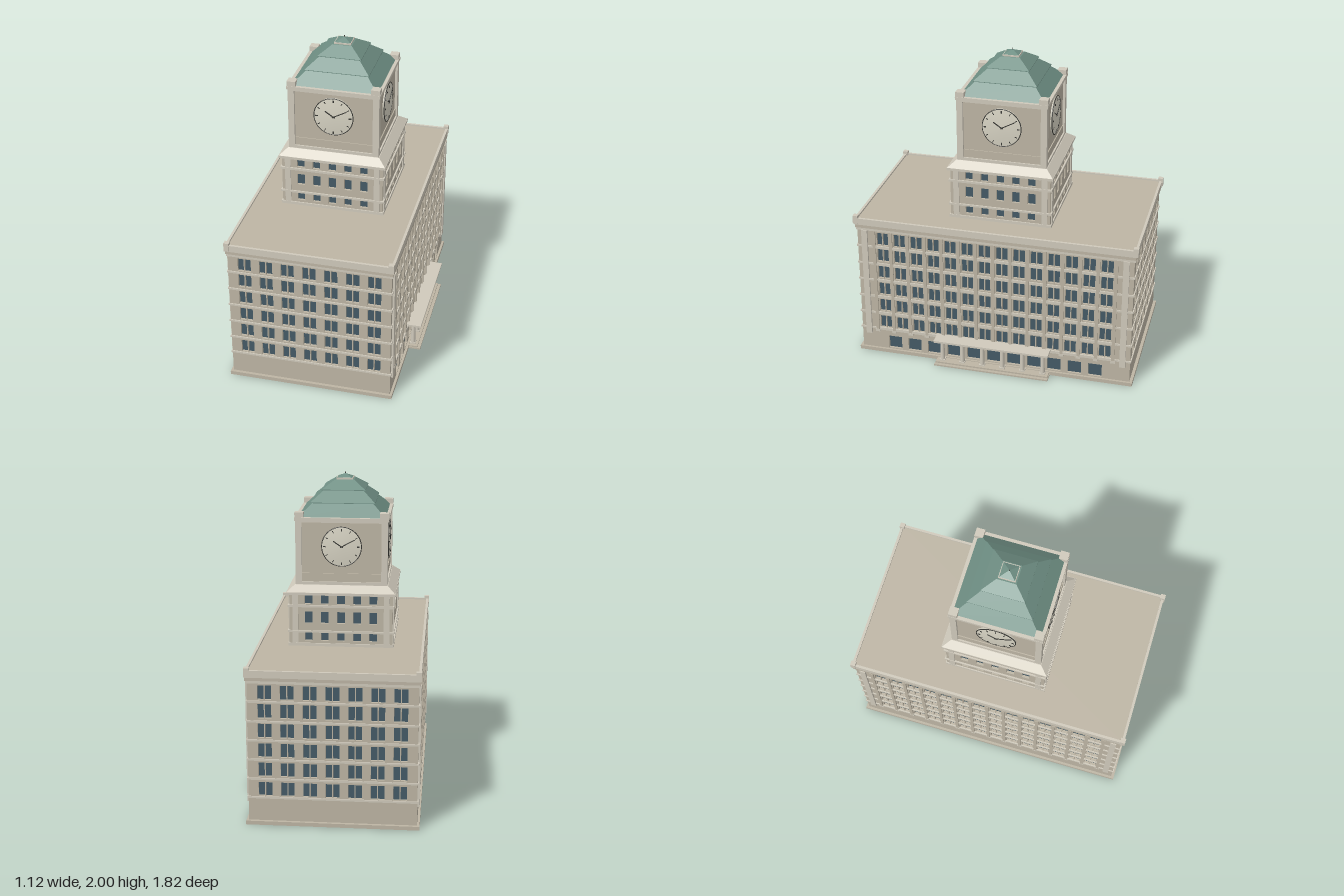
import * as THREE from 'three';

const mat = (color, extra = {}) => new THREE.MeshStandardMaterial({ color, ...extra });
const STONE = mat(0xbdb5a4);
const TRIM = mat(0xcfc9bb);
const GLASS = mat(0x445a66);
const COPPER = mat(0x6f8f84, { flatShading: true });
const SKIRT = mat(0xcfc9bb, { flatShading: true });
const DARK = mat(0x3a3a36);
const DIAL = mat(0xd8d4c4);

function add(parent, name, geometry, material, x = 0, y = 0, z = 0) {
  const mesh = new THREE.Mesh(geometry, material);
  mesh.name = name;
  mesh.position.set(x, y, z);
  parent.add(mesh);
  return mesh;
}

// Box given by its centre in x and z and its bottom and top heights
function block(parent, name, material, w, y0, y1, d, x = 0, z = 0) {
  return add(parent, name, new THREE.BoxGeometry(w, y1 - y0, d), material, x, (y0 + y1) / 2, z);
}

// Square pyramid section between two half widths
function frustum(parent, name, material, low, high, y0, y1) {
  const g = new THREE.CylinderGeometry(high * Math.SQRT2, low * Math.SQRT2, y1 - y0, 4, 1);
  g.rotateY(Math.PI / 4);
  return add(parent, name, g, material, 0, (y0 + y1) / 2, 0);
}

// Group for one side: local x runs along the wall, local z points outward
function side(parent, name, quarter) {
  const g = new THREE.Group();
  g.name = name;
  g.rotation.y = quarter * Math.PI / 2;
  parent.add(g);
  return g;
}

// Wall skin with rectangular openings [centreX, centreY, w, h]; its outer face is at z = face
const SKIN = 0.016;
function wall(parent, name, material, width, y0, y1, face, openings) {
  const rect = (P, x0, a, x1, b) => new P([[x0, a], [x1, a], [x1, b], [x0, b]].map(p => new THREE.Vector2(...p)));
  const shape = rect(THREE.Shape, -width / 2, y0, width / 2, y1);
  for (const [x, y, w, h] of openings) shape.holes.push(rect(THREE.Path, x - w / 2, y - h / 2, x + w / 2, y + h / 2));
  const g = new THREE.ExtrudeGeometry(shape, { depth: SKIN, bevelEnabled: false });
  return add(parent, name, g, material, 0, 0, face - SKIN);
}

// Evenly spaced positions centred on zero
const spread = (n, step) => Array.from({ length: n }, (_, i) => (i - (n - 1) / 2) * step);

const ROWS = [0.225, 0.349, 0.471, 0.594, 0.716, 0.832];
const BANDS = [0.172, 0.29, 0.412, 0.534, 0.652, 0.775];
const HX = 0.505, HZ = 0.886;

function pairedWindows(columns, step, pane) {
  const list = [];
  for (const x of spread(columns, step))
    for (const y of ROWS)
      for (const s of [-1, 1]) list.push([x + s * (pane / 2 + 0.003), y, pane, 0.088]);
  return list;
}

function buildOffice(root) {
  const office = new THREE.Group();
  office.name = 'officeBlock';
  root.add(office);
  block(office, 'windowGlass', GLASS, 2 * (HX - SKIN), 0.01, 0.93, 2 * (HZ - SKIN));
  block(office, 'plinth', STONE, 1.04, 0, 0.024, 1.81);

  // Short ends
  for (const q of [0, 2]) {
    const s = side(office, q ? 'backFacade' : 'frontFacade', q);
    wall(s, 'endWall', STONE, 2 * HX, 0.02, 0.92, HZ, pairedWindows(7, 0.134, 0.038));
  }

  // Long sides with a pilaster grid; the entrance side has ground floor windows
  for (const q of [1, 3]) {
    const s = side(office, q === 1 ? 'leftFacade' : 'rightFacade', q);
    const openings = pairedWindows(14, 0.111, 0.034);
    if (q === 1) for (const x of spread(11, 0.1327)) openings.push([x, 0.076, 0.088, 0.09]);
    wall(s, 'longWall', STONE, 2 * (HZ - SKIN), 0.02, 0.92, HX, openings);
    for (const x of spread(15, 0.111)) {
      block(s, 'pilaster', STONE, 0.02, 0.165, 0.89, 0.012, x, HX + 0.004);
      block(s, 'bracket', TRIM, 0.03, 0.15, 0.168, 0.014, x, HX + 0.004);
    }
    for (const x of [-0.838, 0.838]) block(s, 'cornerPilaster', TRIM, 0.038, 0.13, 0.89, 0.018, x, HX + 0.004);
    for (const y of BANDS) block(s, 'sillBand', TRIM, 1.58, y - 0.009, y + 0.009, 0.01, 0, HX + 0.003);
  }

  // Floor bands as open rings that wrap the block
  for (const y of BANDS) {
    for (const s of [-1, 1]) {
      block(office, 'floorBand', TRIM, 2 * HX + 0.014, y - 0.006, y + 0.006, 0.012, 0, s * (HZ + 0.001));
      block(office, 'floorBand', TRIM, 0.012, y - 0.006, y + 0.006, 2 * HZ - 0.01, s * (HX + 0.001), 0);
    }
  }

  // Cornice, flat roof and parapet
  block(office, 'frieze', TRIM, 2 * HX + 0.014, 0.888, 0.905, 2 * HZ + 0.014);
  block(office, 'cornice', STONE, 2 * HX + 0.022, 0.905, 0.93, 2 * HZ + 0.022);
  block(office, 'roofDeck', STONE, 1.02, 0.93, 0.957, 1.79);
  for (const s of [-1, 1]) {
    block(office, 'parapet', TRIM, 1.034, 0.925, 0.968, 0.016, 0, s * 0.893);
    block(office, 'parapet', TRIM, 0.016, 0.925, 0.968, 1.77, s * 0.509, 0);
    for (const t of [-1, 1]) block(office, 'parapetCornerBlock', TRIM, 0.032, 0.93, 0.985, 0.032, s * 0.504, t * 0.892);
  }
}

function buildPorch(root) {
  const porch = new THREE.Group();
  porch.name = 'entrancePorch';
  root.add(porch);
  block(porch, 'porchStep', STONE, 0.09, 0, 0.01, 0.75, 0.55, 0);
  block(porch, 'porchFloor', STONE, 0.07, 0.01, 0.02, 0.74, 0.54, 0);
  block(porch, 'canopy', TRIM, 0.095, 0.174, 0.187, 0.75, 0.548, 0);
  block(porch, 'canopyBeam', TRIM, 0.04, 0.163, 0.174, 0.71, 0.54, 0);
  const shaft = new THREE.CylinderGeometry(0.013, 0.015, 0.135, 20);
  for (const z of spread(6, 0.1327)) {
    add(porch, 'column', shaft, TRIM, 0.54, 0.0945, z);
    block(porch, 'columnBase', TRIM, 0.036, 0.02, 0.028, 0.036, 0.54, z);
    block(porch, 'columnCapital', TRIM, 0.036, 0.155, 0.164, 0.036, 0.54, z);
  }
}

function buildClock(parent, face) {
  const clock = new THREE.Group();
  clock.name = 'clock';
  clock.position.set(0, 1.58, face);
  parent.add(clock);
  const profile = [[0.123, 0], [0.123, 0.012], [0, 0.014]].map(p => new THREE.Vector2(...p));
  add(clock, 'clockDial', new THREE.LatheGeometry(profile, 48).rotateX(Math.PI / 2), DIAL);
  add(clock, 'clockRim', new THREE.TorusGeometry(0.122, 0.003, 6, 48), DARK, 0, 0, 0.011);
  // A bar at a clockwise angle from twelve, between two radii
  const bar = (name, angle, r0, r1, w) => {
    const g = new THREE.BoxGeometry(w, r1 - r0, 0.004).translate(0, (r0 + r1) / 2, 0);
    add(clock, name, g, DARK, 0, 0, 0.016).rotation.z = -angle;
  };
  for (let i = 0; i < 12; i++) bar('hourMark', i * Math.PI / 6, 0.097, 0.112, i % 3 ? 0.004 : 0.007);
  bar('hourHand', -0.98, -0.01, 0.062, 0.006);
  bar('minuteHand', 1.08, -0.01, 0.092, 0.005);
}

function buildTower(root) {
  const tower = new THREE.Group();
  tower.name = 'clockTower';
  root.add(tower);
  const H = 0.32, C = 0.284;

  // Lower stage
  block(tower, 'towerGlass', GLASS, 2 * (H - SKIN), 0.95, 1.29, 2 * (H - SKIN));
  for (const [y0, y1, h] of [[0.955, 0.975, 0.328], [1.044, 1.056, 0.33], [1.205, 1.219, 0.33]])
    for (const s of [-1, 1]) {
      block(tower, 'towerBand', TRIM, 2 * h, y0, y1, 0.02, 0, s * (h - 0.01));
      block(tower, 'towerBand', TRIM, 0.02, y0, y1, 2 * h - 0.04, s * (h - 0.01), 0);
    }
  block(tower, 'towerCornice', TRIM, 0.676, 1.284, 1.3, 0.676);
  frustum(tower, 'slopedSkirt', SKIRT, 0.336, 0.288, 1.3, 1.34);

  // Clock stage
  block(tower, 'clockCore', STONE, 2 * (C - SKIN), 1.33, 1.745, 2 * (C - SKIN));
  block(tower, 'clockCornice', TRIM, 0.58, 1.738, 1.758, 0.58);

  for (let q = 0; q < 4; q++) {
    const s = side(tower, 'towerSide', q);
    const trimEnds = q % 2 ? 2 * SKIN : 0;
    const openings = [];
    for (const x of spread(5, 0.1))
      for (const [y, h] of [[1.015, 0.05], [1.139, 0.074], [1.252, 0.054]]) openings.push([x, y, 0.048, h]);
    wall(s, 'towerWall', STONE, 2 * H - trimEnds, 0.95, 1.29, H, openings);
    for (const x of [-0.283, 0.283]) block(s, 'towerPilaster', TRIM, 0.036, 0.96, 1.285, 0.012, x, H + 0.001);
    wall(s, 'clockSurround', TRIM, 2 * C - trimEnds, 1.335, 1.742, C, [[0, 1.543, 0.49, 0.37]]);
    block(s, 'panelSill', STONE, 0.49, 1.358, 1.41, 0.012, 0, C - SKIN);
    buildClock(s, C - SKIN);
  }

  // Stepped pyramid roof with corner blocks and a spike
  for (const x of [-1, 1])
    for (const z of [-1, 1]) block(tower, 'cornerBlock', TRIM, 0.054, 1.75, 1.79, 0.054, x * 0.261, z * 0.261);
  const tiers = [[0.27, 0.188, 1.757, 1.832], [0.2, 0.122, 1.836, 1.902], [0.135, 0.06, 1.906, 1.958]];
  for (const [low, high, y0, y1] of tiers) {
    frustum(tower, 'roofEave', COPPER, low, low, y0 - 0.004, y0);
    frustum(tower, 'roofTier', COPPER, low, high, y0, y1);
  }
  block(tower, 'roofCollar', TRIM, 0.104, 1.956, 1.968, 0.104);
  frustum(tower, 'roofCap', COPPER, 0.048, 0, 1.968, 1.99);
  add(tower, 'spike', new THREE.CylinderGeometry(0.002, 0.004, 0.025, 8), DARK, 0, 1.9875, 0);
}

export function createModel() {
  const root = new THREE.Group();
  root.name = 'clockTowerBuilding';
  root.position.x = -0.04;
  buildOffice(root);
  buildPorch(root);
  buildTower(root);
  const model = new THREE.Group();
  model.name = 'model';
  model.add(root);
  return model;
}
